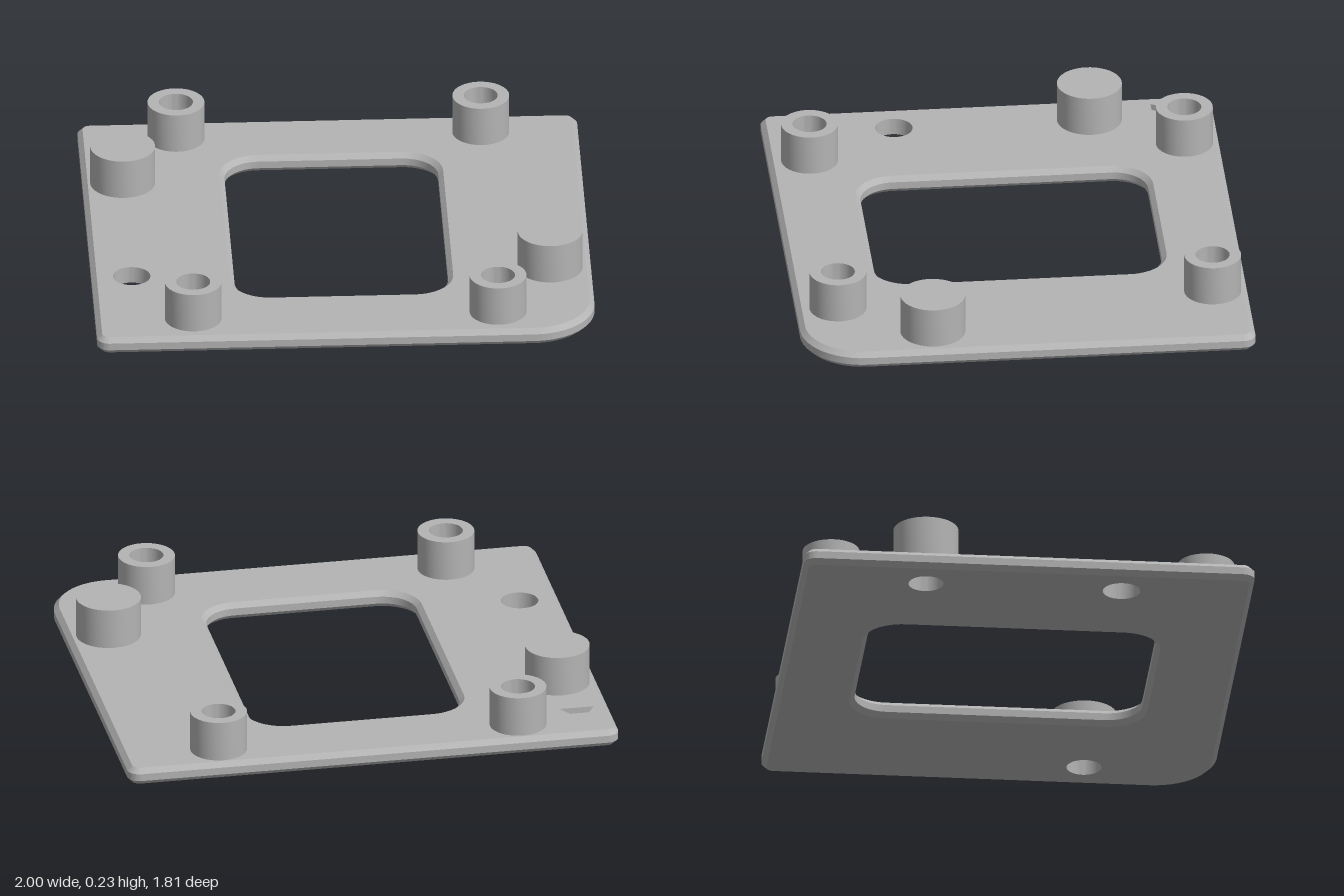
import * as THREE from 'three';
import { toCreasedNormals } from 'three/addons/utils/BufferGeometryUtils.js';

const TOP = 0.07, BOSS_TOP = 0.235, CHAMFER = 0.02;
const BOSS_R = 0.114, BORE_R = 0.068, PEG_R = 0.13, PIN_R = 0.07;

// Plan coordinates are (x, -z), counter-clockwise seen from above.
// Rounded rectangle; radii run front-left, front-right, back-right, back-left in plan.
function roundedLoop(x0, z0, x1, z1, radii, inset) {
  const corners = [[x0, z1, 1, 1], [x1, z1, -1, 1], [x1, z0, -1, -1], [x0, z0, 1, -1]];
  const points = [];
  corners.forEach(([x, z, sx, sy], k) => {
    const r = radii[k], arc = Math.max(r - inset, 0.002);
    for (let i = 0; i <= 12; i++) {
      const a = Math.PI + (k + i / 12) * Math.PI / 2;
      points.push(new THREE.Vector2(x + sx * r + arc * Math.cos(a), -z + sy * r + arc * Math.sin(a)));
    }
  });
  return points;
}

function circleLoop([x, z], r) {
  return Array.from({ length: 48 }, (_, i) => {
    const a = i / 48 * Math.PI * 2;
    return new THREE.Vector2(x + r * Math.cos(a), -z + r * Math.sin(a));
  });
}

// Wall joining matching loops stacked from bottom to top
function wall(levels, inward = false) {
  const pos = [];
  const put = (p, y) => pos.push(p.x, y, -p.y);
  for (let l = 0; l < levels.length - 1; l++) {
    const [a, ya] = levels[l], [b, yb] = levels[l + 1];
    a.forEach((_, n) => {
      const m = (n + 1) % a.length;
      const [i, j] = inward ? [m, n] : [n, m];
      put(a[i], ya); put(a[j], ya); put(b[j], yb);
      put(a[i], ya); put(b[j], yb); put(b[i], yb);
    });
  }
  const g = new THREE.BufferGeometry();
  g.setAttribute('position', new THREE.Float32BufferAttribute(pos, 3));
  g.computeVertexNormals();
  return toCreasedNormals(g, 0.5);
}

// Flat face with holes, facing up or down
function face(outline, holes, y, down = false) {
  const shape = new THREE.Shape(outline);
  shape.holes = holes.map(h => new THREE.Path(h));
  const g = new THREE.ShapeGeometry(shape).rotateX(-Math.PI / 2).translate(0, y, 0);
  if (down) {
    const idx = g.index.array;
    for (let i = 0; i < idx.length; i += 3) [idx[i], idx[i + 1]] = [idx[i + 1], idx[i]];
    g.computeVertexNormals();
  }
  return g;
}

function turned(profile) {
  return toCreasedNormals(new THREE.LatheGeometry(profile.map(p => new THREE.Vector2(...p)), 48), 0.6);
}

export function createModel() {
  const model = new THREE.Group();
  const grey = new THREE.MeshStandardMaterial({ color: 0xb4b4b4 });
  grey.name = 'plain grey';
  const add = (name, geometry, [x, z] = [0, 0]) => {
    const mesh = new THREE.Mesh(geometry, grey);
    mesh.name = name;
    mesh.position.set(x, 0, z);
    model.add(mesh);
  };

  const pegs = [[-0.84, -0.405], [0.835, 0.38]];
  const throughHole = [-0.84, 0.38];
  const bosses = [-0.61, 0.61].flatMap(x => [-0.765, 0.74].map(z => [x, z]));

  // Chamfered plate
  const outer = d => roundedLoop(-1, -0.905, 1, 0.905, [0.05, 0.25, 0.05, 0.05], d);
  const opening = d => roundedLoop(-0.43, -0.59, 0.425, 0.565, [0.14, 0.14, 0.14, 0.14], d);
  const chamfered = loop => [
    [loop(CHAMFER), 0], [loop(0), CHAMFER], [loop(0), TOP - CHAMFER], [loop(CHAMFER), TOP]];
  const openingSides = chamfered(d => opening(-d));
  const triangle = [[-0.94, -0.66], [-0.8, -0.66], [-0.87, -0.775]].map(([x, z]) => new THREE.Vector2(x, -z));
  const pinHoles = pegs.map(p => circleLoop(p, PIN_R));
  const through = circleLoop(throughHole, 0.075);

  add('plateEdge', wall(chamfered(outer)));
  add('openingEdge', wall(openingSides, true));
  const holes = [opening(-CHAMFER), through, ...pinHoles];
  add('plateTop', face(outer(CHAMFER), [...holes, triangle], TOP));
  add('plateUnderside', face(outer(CHAMFER), holes, 0, true));
  add('throughHole', wall([[through, 0], [through, TOP]], true));

  // Engraved orientation mark
  add('markSides', wall([[triangle, TOP - 0.025], [triangle, TOP]], true));
  add('markFloor', face(triangle, [], TOP - 0.025));

  // Hollow bosses
  for (const p of bosses) {
    add('boss', turned([[BOSS_R, TOP], [BOSS_R, BOSS_TOP], [BORE_R, BOSS_TOP], [BORE_R, TOP]]), p);
  }

  // Closed pegs with a blind hole from below
  for (const p of pegs) {
    add('peg', turned([[PEG_R, TOP], [PEG_R, BOSS_TOP], [0, BOSS_TOP]]), p);
    add('pegSocket', turned([[0, 0.17], [PIN_R, 0.17], [PIN_R, 0]]), p);
  }
  return model;
}
